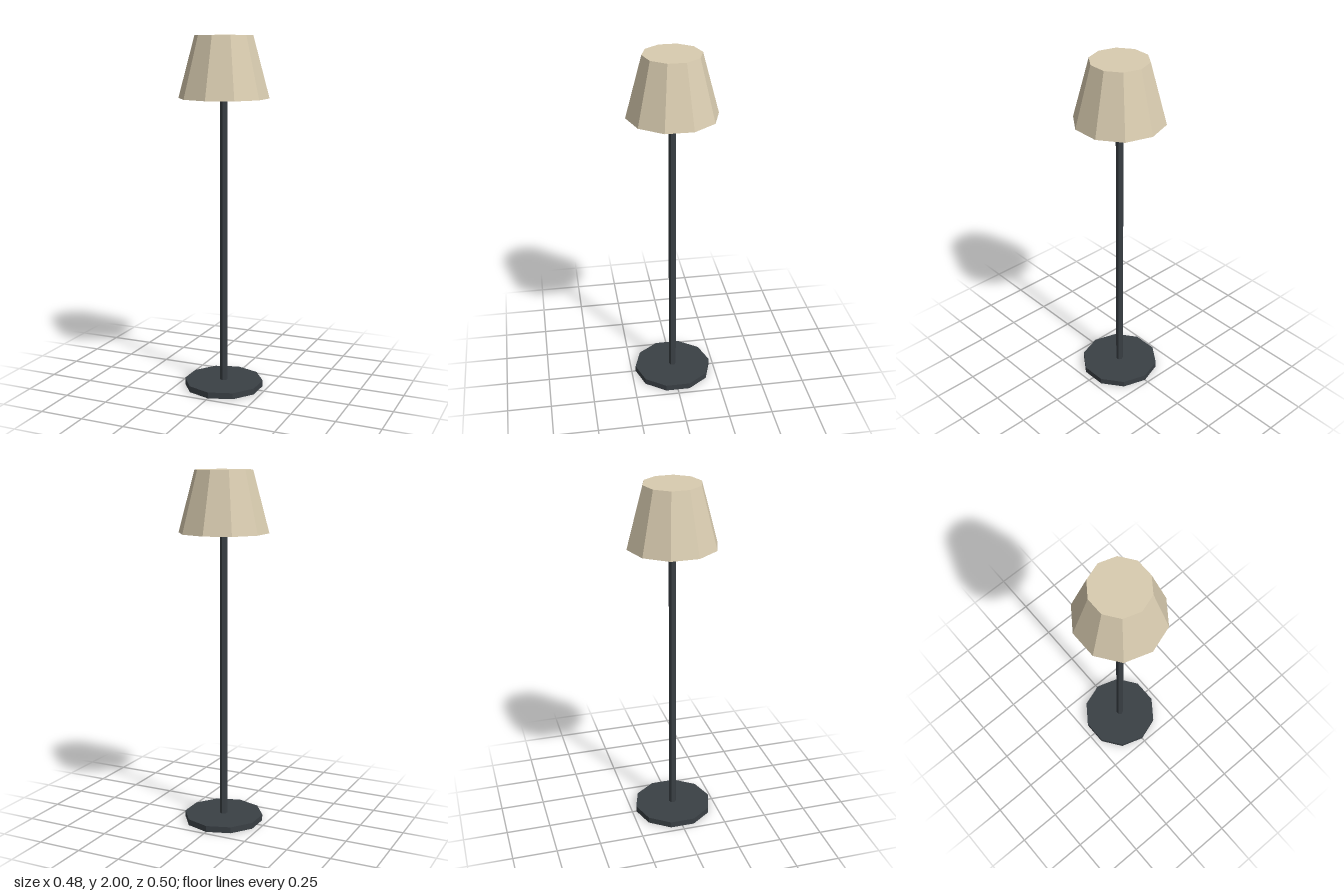
import * as THREE from 'three';

export function createModel() {
  const group = new THREE.Group();
  const fabric = new THREE.MeshStandardMaterial({ color: 0xd9ccb0, flatShading: true });
  fabric.name = 'cream fabric';
  const metal = new THREE.MeshStandardMaterial({ color: 0x3a4045, flatShading: true });
  metal.name = 'dark metal';

  // Faceted, capped cylinder standing between two heights
  const addTurned = (name, rTop, rBottom, y0, y1, sides, material) => {
    const geometry = new THREE.CylinderGeometry(rTop, rBottom, y1 - y0, sides);
    const mesh = new THREE.Mesh(geometry, material);
    mesh.name = name;
    mesh.position.y = (y0 + y1) / 2;
    group.add(mesh);
  };

  addTurned('base', 0.226, 0.226, 0, 0.035, 10, metal);
  addTurned('pole', 0.021, 0.021, 0.03, 1.67, 6, metal);
  addTurned('shade', 0.16, 0.251, 1.66, 2, 10, fabric);

  return group;
}
